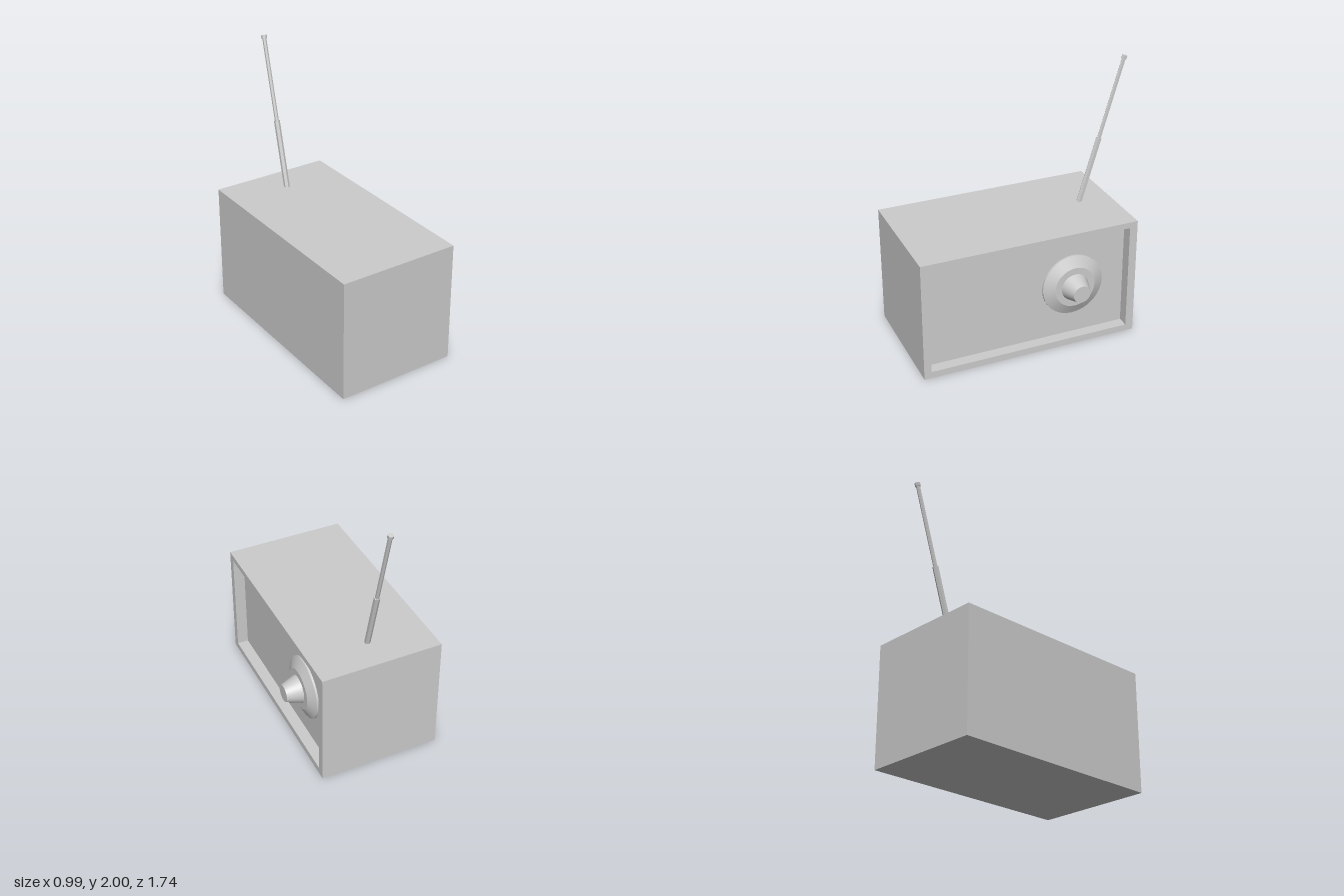
import * as THREE from 'three';
import { toCreasedNormals } from 'three/addons/utils/BufferGeometryUtils.js';

const FACE_X = 0.405, FLOOR_X = 0.32;
// Side-face outlines use u = -z, v = y
const OUTER = [[-0.87, 0], [0.77, 0], [0.77, 0.905], [-0.87, 0.905]];
const INNER = [[-0.815, 0.05], [0.71, 0.05], [0.71, 0.86], [-0.815, 0.86]];

export function createModel() {
  const group = new THREE.Group();
  const material = new THREE.MeshStandardMaterial({ color: 0xcccccc });

  const add = (name, geometry) => {
    const mesh = new THREE.Mesh(geometry, material);
    mesh.name = name;
    group.add(mesh);
    return mesh;
  };
  const toShape = (pts) => new THREE.Shape(pts.map(([u, v]) => new THREE.Vector2(u, v)));
  const sideFace = (shape, x) =>
    new THREE.ShapeGeometry(shape).rotateY(Math.PI / 2).translate(x, 0, 0);

  // Box spanning an outline from x0 to x1, leaving out its first index entries (+x, then -x)
  const openBox = (outline, x0, x1, skip, inward) => {
    const [[u0, v0], , [u1, v1]] = outline;
    const geo = new THREE.BoxGeometry(x1 - x0, v1 - v0, u1 - u0);
    geo.translate((x0 + x1) / 2, (v0 + v1) / 2, -(u0 + u1) / 2);
    const index = Array.from(geo.index.array).slice(skip);
    geo.clearGroups();
    geo.setIndex(inward ? index.reverse() : index);
    geo.computeVertexNormals();
    return geo;
  };

  // Cabinet with a recessed control side
  add('cabinet', openBox(OUTER, -0.5, FACE_X, 6, false));
  const frame = toShape(OUTER);
  frame.holes.push(toShape(INNER));
  add('frontFrame', sideFace(frame, FACE_X));
  add('recessWalls', openBox(INNER, FLOOR_X, FACE_X, 12, true));

  // Recess floor, split by a slanted seam
  const seam = [[-0.17, 0.05], [0.045, 0.86]];
  add('speakerPanel', sideFace(toShape([INNER[0], seam[0], seam[1], INNER[3]]), FLOOR_X));
  add('dialPanel', sideFace(toShape([seam[0], INNER[1], INNER[2], seam[1]]), FLOOR_X));

  // Dial and tapered knob, turned around the x axis
  const turned = (name, pts) => {
    const geo = new THREE.LatheGeometry(pts.map(([r, h]) => new THREE.Vector2(r, h)), 32);
    geo.rotateZ(-Math.PI / 2).translate(FLOOR_X, 0.455, -0.3);
    add(name, toCreasedNormals(geo, 0.35));
  };
  turned('dial', [[0.235, 0], [0.235, 0.015], [0.155, 0.055], [0, 0.055]]);
  turned('knob', [[0.105, 0.055], [0.065, 0.17], [0, 0.17]]);

  // Telescopic antenna, leaning backward
  const base = new THREE.Vector3(-0.05, 0.905, -0.53);
  const tip = new THREE.Vector3(-0.027, 1.995, -0.845);
  const direction = tip.clone().sub(base).normalize();
  const length = tip.distanceTo(base);
  const rod = (name, from, to, radius) => {
    const geo = toCreasedNormals(new THREE.CylinderGeometry(radius, radius, to - from, 6), 0.5);
    const mesh = add(name, geo);
    mesh.position.copy(base).addScaledVector(direction, (from + to) / 2);
    mesh.quaternion.setFromUnitVectors(new THREE.Vector3(0, 1, 0), direction);
  };
  rod('antennaLower', -0.02, length * 0.443, 0.022);
  rod('antennaUpper', length * 0.443, length - 0.025, 0.015);
  rod('antennaTip', length - 0.025, length, 0.021);

  return group;
}
